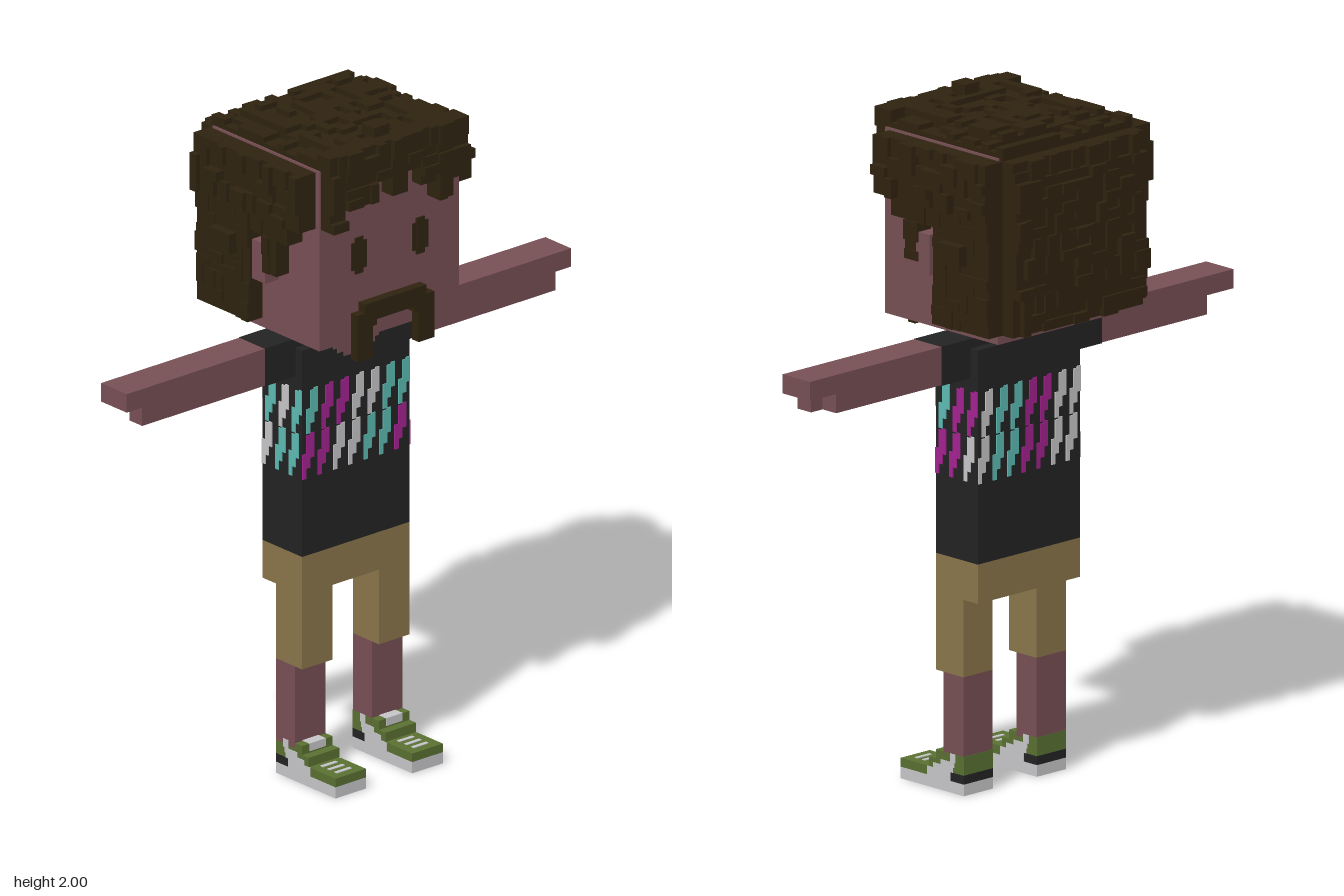
import * as THREE from 'three';
import { mergeGeometries } from 'three/addons/utils/BufferGeometryUtils.js';

const material = (name, color) => {
  const m = new THREE.MeshStandardMaterial({ color });
  m.name = name;
  return m;
};

// Seeded random numbers for the curls
function seeded(seed) {
  return () => {
    seed = (seed * 16807) % 2147483647;
    return seed / 2147483647;
  };
}

// Box geometry given by its limits
function span(x0, x1, y0, y1, z0, z1) {
  return new THREE.BoxGeometry(x1 - x0, y1 - y0, z1 - z0)
    .translate((x0 + x1) / 2, (y0 + y1) / 2, (z0 + z1) / 2);
}

// Shell of chunky tufts around the head, on a cubic grid
function hairGeometry() {
  const rnd = seeded(77), s = 0.0566, parts = [];
  const sideStart = { 3: 6, 2: 5, 1: 3, 0: 5 };
  const frontStart = { '-4': 6, 3: 6, '-1': 8, 1: 8 };

  const tuft = (i, j, k, axis, dir, push) => {
    const c = [i * s, 1.432 + j * s, (k + 0.5) * s];
    const split = (axis + (rnd() < 0.5 ? 1 : 2)) % 3;
    for (const half of [-1, 1]) {
      const size = [s, s, s], p = [...c];
      size[split] /= 2;
      p[split] += half * s / 4;
      const out = push();
      size[axis] += out;
      p[axis] += dir * out / 2;
      parts.push(new THREE.BoxGeometry(...size).translate(...p));
    }
  };

  for (let i = -5; i <= 5; i++) for (let j = 0; j <= 9; j++) for (let k = -5; k <= 4; k++) {
    const side = Math.abs(i) === 5, front = k === 4, back = k === -5, top = j === 9;
    if (!(side || front || back || top)) continue;
    if (side && (front || back || top)) continue;
    if (back && top) continue;
    if (front && j < (frontStart[i] ?? 7)) continue;
    if (side && j < (sideStart[k] ?? 0)) continue;
    if (top && !front) {
      const low = Math.abs(i) === 4 || k === -4 ? 0.028 : 0.008;
      tuft(i, j, k, 1, 1, () => -Math.floor(rnd() * 2) * 0.016 - low + 0.008);
    } else if (side) {
      const far = j > 5 && j < 9 && Math.abs(k + 0.5) < 4;
      tuft(i, j, k, 0, Math.sign(i), () => Math.floor(rnd() * 3) * (far ? 0.014 : 0.004) - 0.003);
    } else {
      const inner = back && (j < 2 || j > 7);
      tuft(i, j, k, 2, front ? 1 : -1, () => Math.floor(rnd() * 3) * 0.0085 - (inner ? 0.014 : 0));
    }
  }
  // Loose curls
  parts.push(span(-0.057, 0, 1.95, 2, 0.19, 0.245));
  for (const x of [-0.327, 0.327]) parts.push(span(x - 0.015, x + 0.015, 1.6, 1.66, -0.14, -0.05));
  return mergeGeometries(parts);
}

export function createModel() {
  const root = new THREE.Group();
  root.name = 'blockyFigure';
  const skin = material('skin', 0x774f54);
  const hair = material('darkBrownHair', 0x2f2310);
  const black = material('blackCloth', 0x232324);
  const tan = material('tanCloth', 0x8a754b);
  const white = material('white', 0xc6c6c8);
  const green = material('green', 0x597032);
  const teal = material('teal', 0x5dbab2);
  const magenta = material('magenta', 0xa3228f);

  const add = (name, geo, mat, parent = root) => {
    const mesh = new THREE.Mesh(geo, mat);
    mesh.name = name;
    parent.add(mesh);
    return mesh;
  };
  const box = (name, mat, limits, parent) => add(name, span(...limits), mat, parent);

  // Head and face
  box('head', skin, [-0.26, 0.26, 1.375, 1.92, -0.215, 0.243]);
  box('neck', skin, [-0.085, 0.085, 1.3, 1.375, -0.038, 0.07]);
  add('hair', hairGeometry(), hair);
  for (const s of [-1, 1]) {
    add('ear', new THREE.BoxGeometry(0.05, 0.12, 0.055).translate(s * 0.285, 1.6, 0.04), skin);
    const eye = new THREE.Group();
    eye.name = 'eye';
    eye.position.set(s * 0.114, 1.63, 0.245);
    add('eyeTall', new THREE.BoxGeometry(0.03, 0.11, 0.006), hair, eye);
    add('eyeWide', new THREE.BoxGeometry(0.057, 0.083, 0.005), hair, eye);
    root.add(eye);
  }

  // Moustache running down both sides of the mouth
  const m = new THREE.Shape();
  [[-0.143, 1.32], [-0.143, 1.46], [-0.115, 1.46], [-0.115, 1.487], [0.115, 1.487], [0.115, 1.46],
    [0.143, 1.46], [0.143, 1.32], [0.085, 1.32], [0.085, 1.415], [0.07, 1.415], [0.07, 1.432],
    [-0.07, 1.432], [-0.07, 1.415], [-0.085, 1.415], [-0.085, 1.32]]
    .forEach(([x, y], n) => (n ? m.lineTo(x, y) : m.moveTo(x, y)));
  add('moustache', new THREE.ExtrudeGeometry(m, { depth: 0.029, bevelEnabled: false }).translate(0, 0, 0.243), hair);

  // Shirt, sleeves and open collar
  box('shirt', black, [-0.2, 0.2, 0.69, 1.317, -0.07, 0.1]);
  box('sleeves', black, [-0.313, 0.313, 1.23, 1.345, -0.041, 0.071]);
  [[0.085, 1.29, 1.318], [0.07, 1.275, 1.29], [0.045, 1.26, 1.275]].forEach(([w, y0, y1]) =>
    box('collarOpening', skin, [-w, w, y0, y1, 0.096, 0.102]));
  box('collarTop', skin, [-0.085, 0.085, 1.312, 1.319, -0.03, 0.102]);

  // Arms and hands
  for (const s of [-1, 1]) {
    const arm = new THREE.Group();
    arm.name = s > 0 ? 'leftArm' : 'rightArm';
    root.add(arm);
    const piece = (name, x0, x1, ...rest) =>
      box(name, skin, s > 0 ? [x0, x1, ...rest] : [-x1, -x0, ...rest], arm);
    piece('forearm', 0.31, 0.7, 1.232, 1.344, -0.04, 0.07);
    piece('fingers', 0.7, 0.828, 1.288, 1.344, -0.04, 0.07);
    piece('palm', 0.7, 0.725, 1.232, 1.288, -0.04, 0.07);
    piece('thumb', 0.725, 0.77, 1.232, 1.288, 0.015, 0.07);
  }

  // Slanted strokes printed around the shirt
  const T = teal, M = magenta, W = white;
  const print = (name, width, angle, x, z, upper, lower) => {
    const g = new THREE.Group();
    g.name = name;
    g.position.set(x, 0, z);
    g.rotation.y = angle;
    root.add(g);
    const p = 0.0143;
    [[upper, 1.06, 0], [lower, 0.925, -0.5]].forEach(([row, y, shift]) => row.forEach((mat, n) => {
      for (let c = 0; c < 3; c++) {
        const x0 = -width / 2 + (n * 4 + c) * p + (shift ? 0 : p);
        if (x0 + p > width / 2 + 0.004) continue;
        const y0 = y + c * 0.03, h = c === 1 ? 0.1 : 0.075;
        box('stroke', mat, [x0, Math.min(x0 + p, width / 2), y0, y0 + h, -0.002, 0.002], g);
      }
    }));
  };
  print('frontPrint', 0.4, 0, 0, 0.101, [T, M, M, W, W, T, T], [M, M, W, W, T, T, M]);
  print('backPrint', 0.4, Math.PI, 0, -0.071, [W, T, T, M, M, W, W], [W, T, T, M, M, W, W]);
  print('leftPrint', 0.17, Math.PI / 2, 0.201, 0.015, [T, M, M], [M, M, W]);
  print('rightPrint', 0.17, -Math.PI / 2, -0.201, 0.015, [T, W, T], [W, T, T]);

  // Shorts
  box('shortsWaist', tan, [-0.2, 0.2, 0.575, 0.69, -0.07, 0.1]);

  // Legs and shoes
  for (const s of [-1, 1]) {
    const leg = new THREE.Group();
    leg.name = s > 0 ? 'leftLeg' : 'rightLeg';
    leg.position.x = s * 0.143;
    root.add(leg);
    const w = 0.057;
    box('shortsLeg', tan, [-w, w, 0.348, 0.575, -0.012, 0.1], leg);
    box('shin', skin, [-w, w, 0.1, 0.348, -0.012, 0.07], leg);
    box('sole', white, [-w, w, 0, 0.034, -0.013, 0.243], leg);
    box('shoeToe', green, [-w, w, 0.034, 0.06, 0.04, 0.243], leg);
    box('shoeHeelBand', black, [-w, w, 0.034, 0.06, -0.013, 0.04], leg);
    box('shoeMiddle', green, [-w, w, 0.06, 0.088, -0.013, 0.128], leg);
    box('shoeCollar', green, [-w, w, 0.088, 0.115, -0.013, 0.1], leg);
    box('tongue', white, [-0.03, 0.03, 0.093, 0.117, 0.05, 0.102], leg);
    for (const z of [0.15, 0.18, 0.21])
      box('lace', white, [-0.028, 0.028, 0.058, 0.062, z - 0.006, z + 0.006], leg);
    // Rising white flash on both sides of the shoe
    for (const f of [-1, 1])
      [[0.034, 0.06, 0.04, 0.135], [0.06, 0.075, 0.03, 0.11], [0.075, 0.09, 0.025, 0.08], [0.09, 0.115, 0.02, 0.042]]
        .forEach(([y0, y1, z0, z1]) =>
          box('sideFlash', white, [f * w - 0.0015, f * w + 0.0015, y0, y1, z0, z1], leg));
  }
  return root;
}
